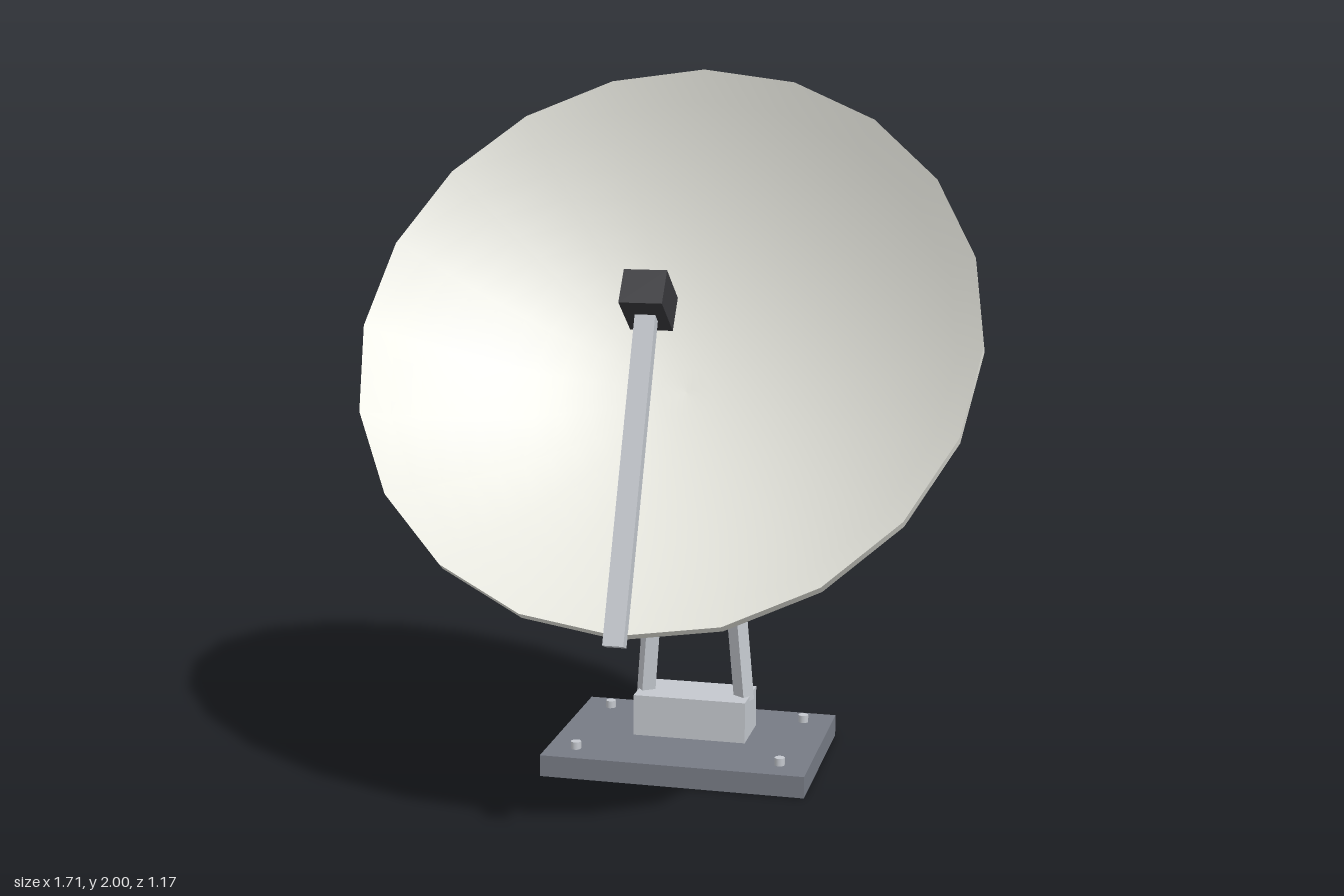
import * as THREE from 'three';

const V = (x, y, z) => new THREE.Vector3(x, y, z);
const mat = (color, side = THREE.FrontSide) => new THREE.MeshStandardMaterial({ color, side });
const OFF_WHITE = mat(0xe4e4dc, THREE.DoubleSide);
const STEEL = mat(0xc4c8ce);
const SLATE = mat(0x777b85);
const DARK = mat(0x38383c);
const GREY = mat(0x8a8c92);

function add(parent, name, geometry, material, pos = V(0, 0, 0)) {
  const mesh = new THREE.Mesh(geometry, material);
  mesh.name = name;
  mesh.position.copy(pos);
  parent.add(mesh);
  return mesh;
}

const box = (parent, name, w, h, d, material, pos) =>
  add(parent, name, new THREE.BoxGeometry(w, h, d), material, pos);

// Rectangular bar between two points, twisted about its own length
function bar(parent, name, a, b, w, d, material, twist = 0) {
  const dir = b.clone().sub(a);
  const mesh = box(parent, name, w, dir.length(), d, material, a.clone().add(b).multiplyScalar(0.5));
  mesh.quaternion.setFromUnitVectors(V(0, 1, 0), dir.normalize());
  mesh.rotateY(twist);
  return mesh;
}

export function createModel() {
  const model = new THREE.Group();
  model.name = 'satelliteDish';

  // Base plate, pedestal and corner bolts
  box(model, 'basePlate', 0.77, 0.063, 0.555, SLATE, V(0, 0.0315, -0.308));
  box(model, 'pedestal', 0.335, 0.123, 0.17, STEEL, V(0, 0.1235, -0.353));
  for (const x of [-0.3, 0.3]) {
    for (const z of [-0.113, -0.503]) {
      add(model, 'bolt', new THREE.CylinderGeometry(0.015, 0.015, 0.03, 10), STEEL, V(x, 0.07, z));
    }
  }

  // Two square legs leaning together
  for (const s of [-1, 1]) {
    bar(model, 'leg', V(s * 0.149, 0.17, -0.346), V(s * 0.082, 1.0, -0.316), 0.042, 0.042, STEEL, -s * 0.6);
  }

  // Tilted head: local +y is the dish axis, local +z points to the lower rim
  const head = new THREE.Group();
  head.name = 'head';
  head.position.set(0, 1.305, 0.05);
  head.rotation.x = 0.947;
  model.add(head);

  // Parabolic shell: back, rim and front as separate surfaces for a crisp edge
  const R = 0.855;
  const parabola = (depth, rimY) => Array.from({ length: 13 }, (_, i) => {
    const t = i / 12;
    return new THREE.Vector2(R * t, depth + (rimY - depth) * t * t);
  });
  const lathe = (name, points) => add(head, name, new THREE.LatheGeometry(points, 20), OFF_WHITE);
  lathe('dishBack', parabola(-0.37, -0.03));
  lathe('dishRim', [new THREE.Vector2(R, -0.03), new THREE.Vector2(R, 0)]);
  lathe('dishFront', parabola(-0.345, 0).reverse());

  // Mount block behind the dish and receiver in front of it
  box(head, 'mountBlock', 0.25, 0.172, 0.186, SLATE, V(0, -0.447, 0));
  box(head, 'receiver', 0.115, 0.148, 0.098, DARK, V(0, 0.197, 0));

  // Feed horn and the arm carrying the receiver
  add(model, 'feedHorn', new THREE.CylinderGeometry(0.03, 0.03, 0.07, 16), GREY, V(0, 1.38, 0.141));
  bar(model, 'feedArm', V(0, 0.588, 0.569), V(0, 1.48, 0.19), 0.055, 0.034, STEEL);

  return model;
}
